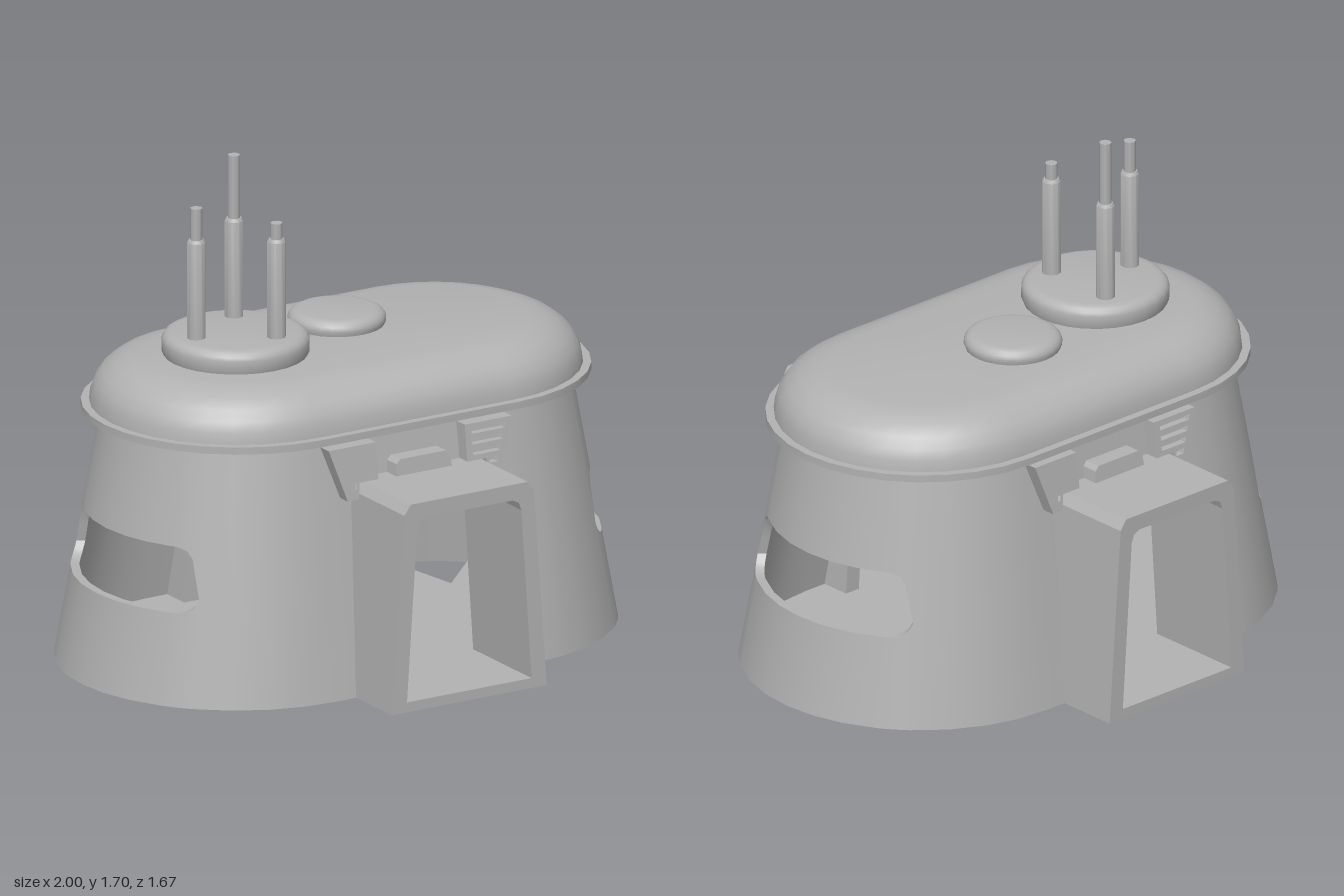
import * as THREE from 'three';
import { toCreasedNormals } from 'three/addons/utils/BufferGeometryUtils.js';

const WALL_TOP = 0.88, THICK = 0.03;
const grey = new THREE.MeshStandardMaterial({ color: 0xb2b2b2 });
grey.name = 'plain grey';

function add(parent, name, geometry, x = 0, y = 0, z = 0) {
  const mesh = new THREE.Mesh(geometry, grey);
  mesh.name = name;
  mesh.position.set(x, y, z);
  parent.add(mesh);
  return mesh;
}

// Collects quads into one geometry with sharp edges kept
function quadBuilder() {
  const pos = [];
  return {
    tri: (...pts) => pts.forEach(p => pos.push(...p)),
    quad(a, b, c, d) { this.tri(a, b, c); this.tri(a, c, d); },
    build() {
      const g = new THREE.BufferGeometry();
      g.setAttribute('position', new THREE.Float32BufferAttribute(pos, 3));
      return toCreasedNormals(g, 0.5);
    },
  };
}

function poly(points) {
  return new THREE.Shape(points.map(p => new THREE.Vector2(...p)));
}

function extrude(shape, depth, z) {
  return new THREE.ExtrudeGeometry(shape, { depth, bevelEnabled: false, curveSegments: 10 }).translate(0, 0, z);
}

// Leans a fitting back about height y so that it follows the wall
function lean(geometry, y) {
  const m = new THREE.Matrix4().makeShear(0, 0, 0, -0.13, 0, 0);
  return geometry.translate(0, -y, 0).applyMatrix4(m).translate(0, y, 0);
}

// Hollow tapered wall: columns run round an oval, each with an opening from lo to hi
function wallGeometry() {
  const quarter = [[0, 0, 0.7], [0.22, 0, 0.7], [0.275, 0, 0], [0.385, 0.36, 0.36]]
    .map(([x, lo, hi]) => ({ a: x / 0.385, nx: 0, nz: 1, lo, hi }));
  const arc = [[79, 0.36, 0.36], [68, 0.36, 0.36], [56, 0.36, 0.36], [44, 0.36, 0.36],
    [42.4, 0.335, 0.425], [40.7, 0.322, 0.495], [38.6, 0.313, 0.518], [36, 0.31, 0.527],
    [33.5, 0.31, 0.53], [22, 0.31, 0.53], [11, 0.31, 0.53], [0, 0.31, 0.53]];
  for (const [deg, lo, hi] of arc) {
    const t = THREE.MathUtils.degToRad(deg);
    quarter.push({ a: 1, nx: Math.cos(t), nz: Math.sin(t), lo, hi });
  }
  const half = [...quarter, ...[...quarter].reverse().slice(1).map(c => ({ ...c, nz: -c.nz }))];
  const loop = [...half, ...[...half].reverse().slice(1).map(c => ({ ...c, a: -c.a, nx: -c.nx }))];

  const point = (c, y, inset) => {
    const r = 0.61 - 0.161 * y - inset, cx = 0.39 - 0.02 * y;
    return [c.a * cx + c.nx * r, y, c.nz * r];
  };
  const b = quadBuilder();
  const piece = (l, r, l0, r0, l1, r1) => {
    const [A, B, C, D] = [point(l, l0, 0), point(r, r0, 0), point(r, r1, 0), point(l, l1, 0)];
    const [a, e, f, d] = [point(l, l0, THICK), point(r, r0, THICK), point(r, r1, THICK), point(l, l1, THICK)];
    b.quad(A, B, C, D);
    b.quad(e, a, d, f);
    b.quad(D, C, f, d);
    b.quad(a, e, B, A);
  };
  for (let i = 0; i < loop.length - 1; i++) {
    const l = loop[i], r = loop[i + 1];
    if (l.lo > 0 || r.lo > 0) piece(l, r, 0, 0, l.lo, r.lo);
    piece(l, r, l.hi, r.hi, WALL_TOP, WALL_TOP);
  }
  return b.build();
}

// Closed oval loft through rings of [height, half straight length, radius]
function ovalLoft(rings, seg = 16) {
  const ring = ([y, cx, r]) => {
    const pts = [];
    for (const s of [1, -1]) {
      for (let i = 0; i <= seg; i++) {
        const t = (i / seg) * Math.PI;
        pts.push([s * (cx + r * Math.sin(t)), y, s * r * Math.cos(t)]);
      }
    }
    return pts;
  };
  const b = quadBuilder(), all = rings.map(ring), n = all[0].length;
  const last = all.length - 1;
  for (let i = 0; i < n; i++) {
    const j = (i + 1) % n;
    for (let k = 0; k < last; k++) b.quad(all[k][i], all[k][j], all[k + 1][j], all[k + 1][i]);
    b.tri(all[0][j], all[0][i], [0, rings[0][0], 0]);
    b.tri(all[last][i], all[last][j], [0, rings[last][0], 0]);
  }
  return b.build();
}

// Disc with a rounded upper edge
function hatchGeometry(r, h) {
  const e = 0.04, pts = [[0, -0.01], [r - 0.01, -0.01], [r, 0.015]];
  for (let i = 0; i <= 4; i++) {
    const t = (i / 4) * Math.PI / 2;
    pts.push([r - e + e * Math.cos(t), h - e * 0.8 + e * 0.8 * Math.sin(t)]);
  }
  pts.push([0, h]);
  return toCreasedNormals(new THREE.LatheGeometry(pts.map(p => new THREE.Vector2(...p)), 28), 0.6);
}

// Doorway tunnel, louvred brackets and lamp block for one long side
function entrance() {
  const g = new THREE.Group();
  const frame = poly([[-0.305, 0], [0.305, 0], [0.255, 0.69], [0.23, 0.725], [-0.23, 0.725], [-0.255, 0.69]]);
  frame.holes.push(poly([[-0.245, 0.035], [-0.205, 0.63], [-0.195, 0.658], [-0.17, 0.67],
    [0.17, 0.67], [0.195, 0.658], [0.205, 0.63], [0.245, 0.035]]));
  add(g, 'doorTunnel', extrude(frame, 0.365, 0.468));

  for (const s of [1, -1]) {
    const outline = [[0.175, 0.85], [0.175, 0.725], [0.25, 0.725], [0.255, 0.67], [0.3, 0.67], [0.36, 0.85]];
    const mirror = pts => pts.map(([x, y]) => [s * x, y]);
    const face = poly(mirror(outline));
    for (let i = 0; i < 4; i++) {
      const y = 0.815 - i * 0.036, x0 = i < 3 ? 0.2 : 0.262, x1 = 0.335 - i * 0.012;
      face.holes.push(poly(mirror([[x0, y], [x1 - 0.005, y], [x1, y + 0.018], [x0, y + 0.018]])));
    }
    add(g, 'louvreFace', lean(extrude(face, 0.025, 0.525), 0.67));
    add(g, 'louvreBacking', lean(extrude(poly(mirror(outline)), 0.045, 0.48), 0.67));
  }

  const block = poly([[-0.11, 0.72], [0.11, 0.72], [0.105, 0.765], [0.09, 0.78], [-0.09, 0.78], [-0.105, 0.765]]);
  add(g, 'doorLamp', lean(extrude(block, 0.08, 0.472), 0.72));
  return g;
}

// Thin floor: a passage across and a fan under each end window, with gaps between
function floorGeometry() {
  const shape = new THREE.Shape();
  shape.moveTo(-0.5, -0.575);
  for (const s of [1, -1]) {
    const q = Math.PI / 4, turn = s > 0 ? 0 : Math.PI;
    shape.lineTo(s * 0.5, s * -0.575);
    shape.lineTo(s * 0.56, s * -0.17);
    shape.absarc(s * 0.39, 0, 0.59, turn - q, turn + q, false);
    shape.lineTo(s * 0.56, s * 0.17);
    shape.lineTo(s * 0.5, s * 0.575);
  }
  return extrude(shape, 0.035, 0).rotateX(-Math.PI / 2);
}

export function createModel() {
  const model = new THREE.Group();
  model.name = 'bunker';

  add(model, 'wall', wallGeometry());
  add(model, 'floor', floorGeometry());
  add(model, 'roof', ovalLoft([
    [0.868, 0.385, 0.4], [0.868, 0.385, 0.525], [0.893, 0.385, 0.525], [0.893, 0.385, 0.497],
    [0.93, 0.385, 0.493], [0.965, 0.385, 0.48], [1.0, 0.385, 0.455], [1.03, 0.385, 0.415],
    [1.05, 0.385, 0.365], [1.058, 0.385, 0.315],
  ]));

  // Entrances on both long sides
  for (const [name, turn] of [['frontEntrance', 0], ['backEntrance', Math.PI]]) {
    const side = entrance();
    side.name = name;
    side.rotation.y = turn;
    model.add(side);
  }

  // Roof hatches
  add(model, 'largeHatch', hatchGeometry(0.248, 0.078), -0.395, 1.058, 0);
  add(model, 'smallHatch', hatchGeometry(0.165, 0.052), 0.06, 1.058, -0.09);

  // Three aerials, each a thick tube with a thin tip
  for (const [x, z, top] of [[-0.55, 0, 1.59], [-0.318, -0.133, 1.7], [-0.318, 0.133, 1.535]]) {
    const aerial = new THREE.Group();
    aerial.name = 'aerial';
    aerial.position.set(x, 0, z);
    const tube = [[0, 1.12], [0.032, 1.12], [0.032, 1.47], [0.026, 1.48], [0, 1.48]];
    add(aerial, 'aerialTube', toCreasedNormals(
      new THREE.LatheGeometry(tube.map(p => new THREE.Vector2(...p)), 10), 0.7));
    add(aerial, 'aerialTip', new THREE.CylinderGeometry(0.021, 0.021, top - 1.47, 8), 0, (top + 1.47) / 2, 0);
    model.add(aerial);
  }
  return model;
}
